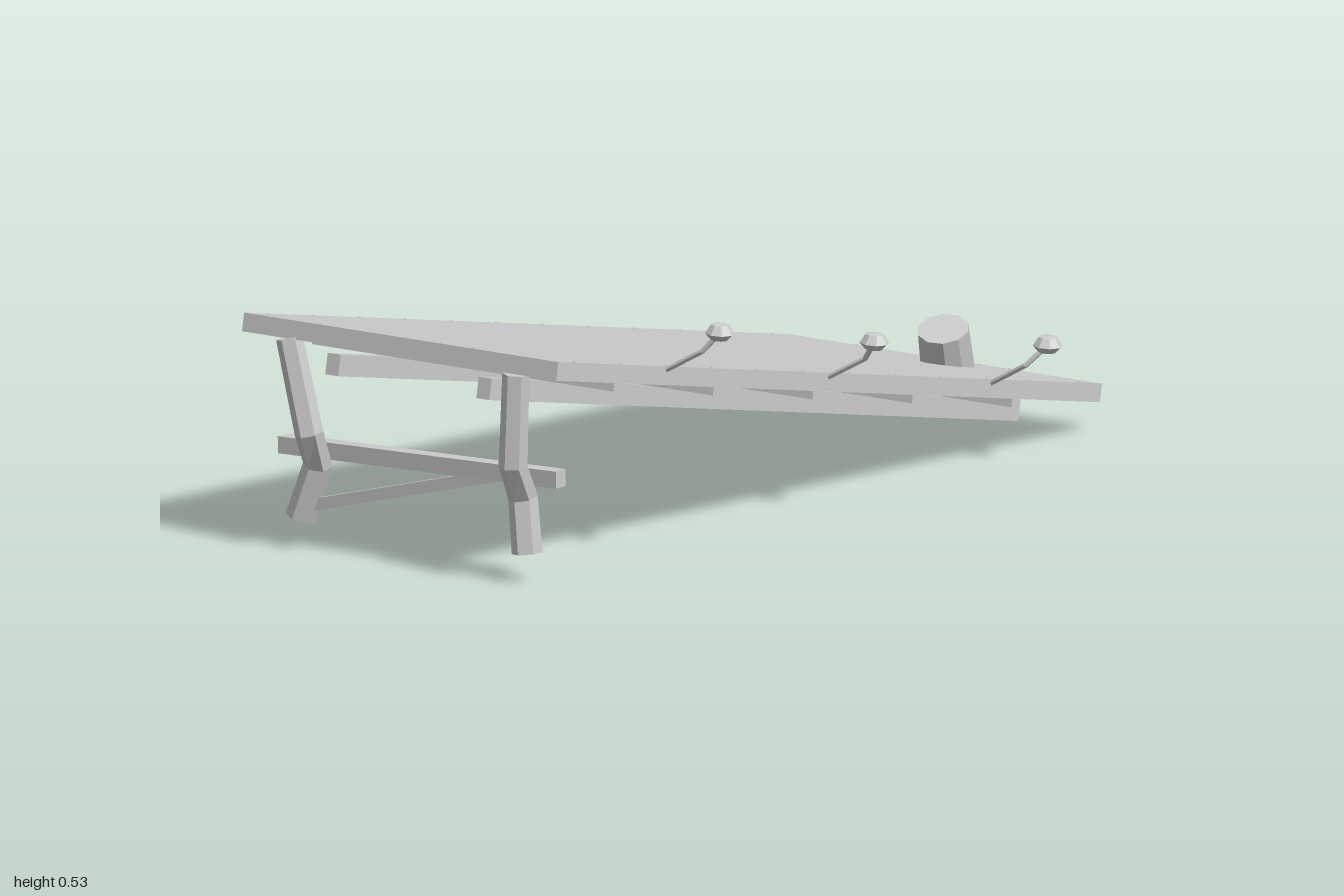
import * as THREE from 'three';

const material = new THREE.MeshStandardMaterial({ color: 0xcccccc, flatShading: true });
const V = (x, y, z) => new THREE.Vector3(x, y, z);

function add(parent, name, geometry, x = 0, y = 0, z = 0) {
  const mesh = new THREE.Mesh(geometry, material);
  mesh.name = name;
  mesh.position.set(x, y, z);
  parent.add(mesh);
  return mesh;
}

// Faceted, capped limb through a list of points, with one radius per point
function limb(points, radii, sides) {
  const pos = [], idx = [];
  points.forEach((p, i) => {
    const a = points[Math.max(i - 1, 0)], b = points[Math.min(i + 1, points.length - 1)];
    const t = b.clone().sub(a).normalize();
    const u = V(0, 0, 1).cross(t).normalize();
    const v = t.clone().cross(u);
    for (let j = 0; j < sides; j++) {
      const ang = ((j + 0.5) / sides) * Math.PI * 2;
      const q = p.clone().addScaledVector(u, radii[i] * Math.cos(ang)).addScaledVector(v, radii[i] * Math.sin(ang));
      pos.push(q.x, q.y, q.z);
    }
  });
  const last = (points.length - 1) * sides;
  for (let j = 0; j < sides; j++) {
    const k = (j + 1) % sides;
    for (let r = 0; r < last; r += sides) {
      idx.push(r + j, r + k, r + sides + k, r + j, r + sides + k, r + sides + j);
    }
    if (j > 0 && j < sides - 1) idx.push(0, k, j, last, last + j, last + k);
  }
  const g = new THREE.BufferGeometry();
  g.setAttribute('position', new THREE.Float32BufferAttribute(pos, 3));
  g.setIndex(idx);
  const flat = g.toNonIndexed();
  flat.computeVertexNormals();
  return flat;
}

// Straight plank between two points
function plank(parent, name, a, b, height, depth) {
  const dir = b.clone().sub(a);
  const mesh = add(parent, name, new THREE.BoxGeometry(dir.length(), height, depth));
  mesh.position.copy(a).add(b).multiplyScalar(0.5);
  mesh.quaternion.setFromUnitVectors(V(1, 0, 0), dir.normalize());
}

export function createModel() {
  const model = new THREE.Group();
  model.name = 'slopingPlatform';

  // Sloping deck: thin panel on a rim; local y = 0 is the walking surface
  const deck = new THREE.Group();
  deck.name = 'deck';
  deck.position.set(-0.079, 0.305, -0.0175);
  deck.rotation.x = -0.2008;
  model.add(deck);
  const W = 0.826, L = 2.005, T = 0.04, rim = 0.017, panel = 0.018;
  add(deck, 'deckPanel', new THREE.BoxGeometry(W, panel, L), 0, -panel / 2, 0);
  const rimH = T - panel, rimY = -panel - rimH / 2;
  for (const s of [-1, 1]) {
    add(deck, 'sideRim', new THREE.BoxGeometry(rim, rimH, L), s * (W - rim) / 2, rimY, 0);
    add(deck, 'endRim', new THREE.BoxGeometry(W - 2 * rim, rimH, rim), 0, rimY, s * (L - rim) / 2);
  }

  // Cross battens under the panel
  for (let i = -2; i <= 2; i++) {
    add(deck, 'batten', new THREE.BoxGeometry(W - 2 * rim, 0.042, 0.03), 0, -0.039, 0.015 + i * 0.367);
  }

  // Two long rails below the battens
  for (const x of [-0.279, 0.118]) {
    add(deck, 'longRail', new THREE.BoxGeometry(0.034, 0.046, 1.951), x + 0.079, -0.083, -0.0185);
  }

  // Small nail heads along the deck edges
  const nail = new THREE.CylinderGeometry(0.003, 0.003, 0.003, 6);
  for (const s of [-1, 1]) {
    for (let i = 0; i < 12; i++) add(deck, 'nail', nail, s * 0.403, 0, -0.93 + i * 0.169);
    for (const x of [-0.22, 0.1, 0.18]) add(deck, 'nail', nail, x, 0, s * 0.99);
  }

  // Crooked front legs
  const legs = {
    rightLeg: [V(-0.375, 0.465, 0.962), V(-0.327, 0.262, 0.957), V(-0.336, 0.185, 0.913), V(-0.378, 0.065, 0.917)],
    leftLeg: [V(0.22, 0.465, 0.962), V(0.209, 0.262, 0.957), V(0.203, 0.185, 0.913), V(0.217, 0.065, 0.917)],
  };
  for (const [name, pts] of Object.entries(legs)) {
    add(model, name, limb(pts, [0.029, 0.031, 0.032, 0.033], 6));
  }

  // Crossbar and diagonal brace behind the legs
  plank(model, 'crossbar', V(-0.445, 0.213, 0.89), V(0.286, 0.231, 0.89), 0.037, 0.035);
  plank(model, 'diagonalBrace', V(-0.41, 0.08, 0.915), V(0.12, 0.218, 0.89), 0.026, 0.015);

  // Leaning stump passing through the deck
  add(model, 'stump', limb([V(0.022, 0.058, -0.883), V(0.047, 0.219, -0.82)], [0.061, 0.056], 10));

  // Mushrooms growing from the left edge: [base y, base z, bend z, cap z]
  const mushrooms = [
    [0.418, 0.572, 0.564, 0.552],
    [0.297, -0.014, -0.025, -0.007],
    [0.178, -0.602, -0.604, -0.633],
  ];
  const capProfile = [[0, 0.008], [0.019, -0.006], [0.032, 0.008], [0.02, 0.027], [0, 0.029]]
    .map(([r, y]) => new THREE.Vector2(r, y));
  const capGeometry = new THREE.LatheGeometry(capProfile, 8);
  for (const [y, z0, z1, z2] of mushrooms) {
    const mushroom = new THREE.Group();
    mushroom.name = 'mushroom';
    model.add(mushroom);
    const stem = [V(0.325, y - 0.004, z0), V(0.42, y + 0.049, z1), V(0.457, y + 0.092, z2)];
    add(mushroom, 'mushroomStem', limb(stem, [0.006, 0.006, 0.006], 6));
    add(mushroom, 'mushroomCap', capGeometry, 0.457, y + 0.084, z2).rotation.z = -0.06;
  }
  return model;
}
